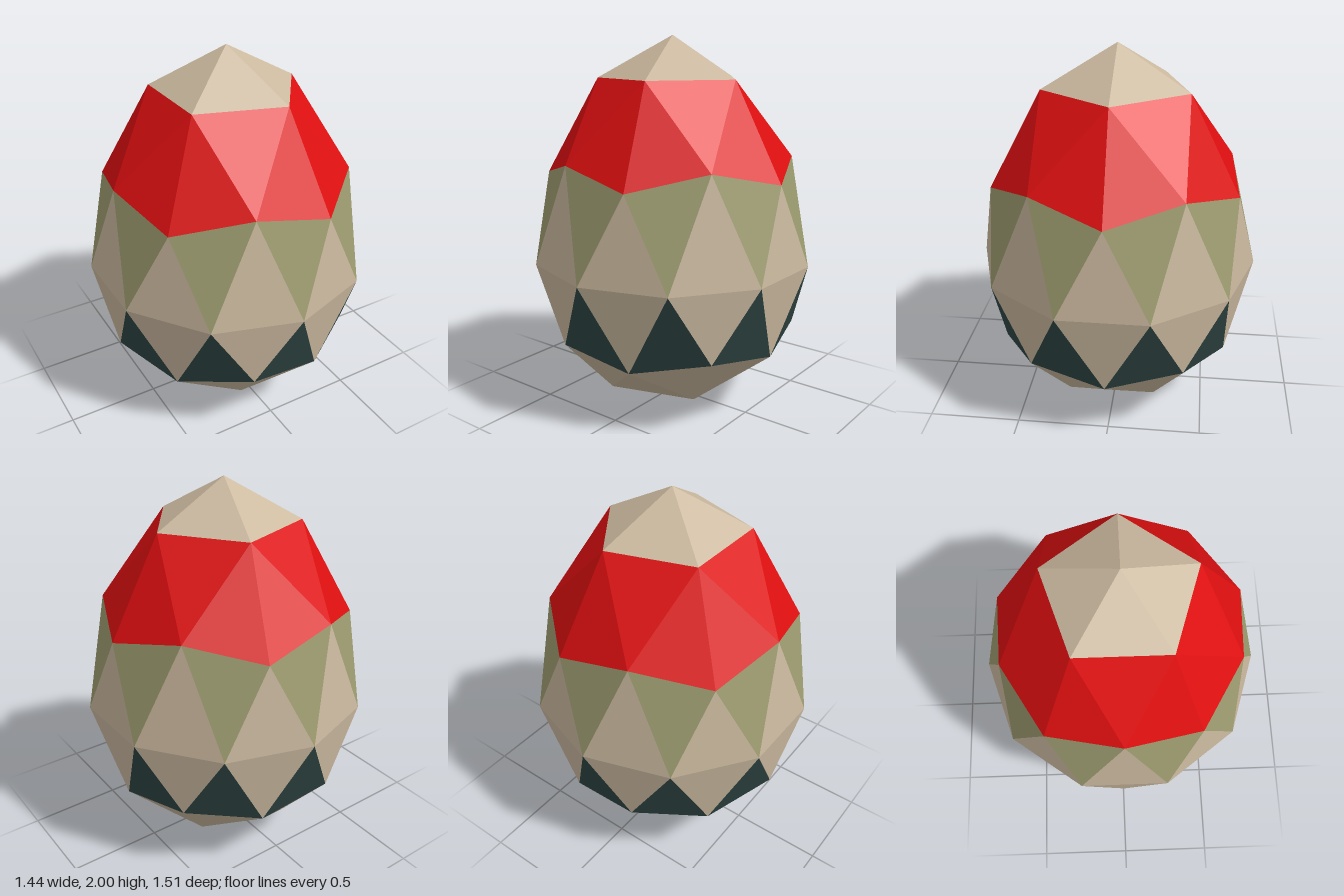
import * as THREE from 'three';

// Ring of points: count around y, radii and heights alternate through the given lists
const ring = (count, offsetDeg, radii, heights) =>
  Array.from({ length: count }, (_, i) => {
    const a = THREE.MathUtils.degToRad(offsetDeg + (i * 360) / count);
    const r = radii[i % radii.length];
    return new THREE.Vector3(r * Math.cos(a), heights[i % heights.length], r * Math.sin(a));
  });

// Flat-shaded mesh from triangles, each one turned to face outward
function facets(name, color, triangles) {
  const centre = new THREE.Vector3(0, 0.9, 0);
  const points = [];
  for (const [a, b, c] of triangles) {
    const normal = b.clone().sub(a).cross(c.clone().sub(a));
    const mid = a.clone().add(b).add(c).divideScalar(3).sub(centre);
    points.push(...(normal.dot(mid) > 0 ? [a, b, c] : [a, c, b]));
  }
  const geometry = new THREE.BufferGeometry().setFromPoints(points);
  geometry.computeVertexNormals();
  const mesh = new THREE.Mesh(geometry, new THREE.MeshStandardMaterial({ color, flatShading: true }));
  mesh.name = name;
  return mesh;
}

export function createModel() {
  // Egg-stretched geodesic sphere: rings from top to bottom
  const top = new THREE.Vector3(0, 2, 0);
  const bottom = new THREE.Vector3(0, 0, 0);
  const crown = ring(5, 0, [0.398], [1.78]);
  const upper = ring(10, 0, [0.677, 0.644], [1.275, 1.365]);
  const middle = ring(10, 18, [0.757], [0.81]);
  const lower = ring(10, 0, [0.644, 0.677], [0.363, 0.425]);
  const base = ring(5, 36, [0.398], [0.115]);

  const cap = [], redBand = [], oliveBand = [], diamonds = [], darkBand = [], underside = [];

  // Five-fold ends: pole fan, then three triangles under each inner-ring point
  const end = (pole, inner, outer, shift, fan, skirt) => {
    for (let k = 0; k < 5; k++) {
      const p = inner[k], q = inner[(k + 1) % 5], j = 2 * k + shift;
      const before = outer[(j + 9) % 10], at = outer[j % 10], after = outer[(j + 1) % 10];
      fan.push([pole, p, q]);
      skirt.push([p, before, at], [p, at, after], [p, after, q]);
    }
  };
  end(top, crown, upper, 0, cap, redBand);
  end(bottom, base, lower, 1, underside, underside);

  // Ten-fold zigzag bands above and below the widest ring
  for (let j = 0; j < 10; j++) {
    const n = (j + 1) % 10, prev = middle[(j + 9) % 10];
    oliveBand.push([upper[j], upper[n], middle[j]]);
    diamonds.push([upper[j], prev, middle[j]], [lower[j], prev, middle[j]]);
    darkBand.push([lower[j], lower[n], middle[j]]);
  }

  const beige = 0xcbb99f;
  const egg = new THREE.Group();
  egg.name = 'facetedEgg';
  egg.add(
    facets('topCap', beige, cap),
    facets('redBand', 0xde0f10, redBand),
    facets('oliveTriangles', 0x9c9b6f, oliveBand),
    facets('beigeDiamonds', beige, diamonds),
    facets('darkTriangles', 0x2e4543, darkBand),
    facets('underside', beige, underside)
  );
  return egg;
}
